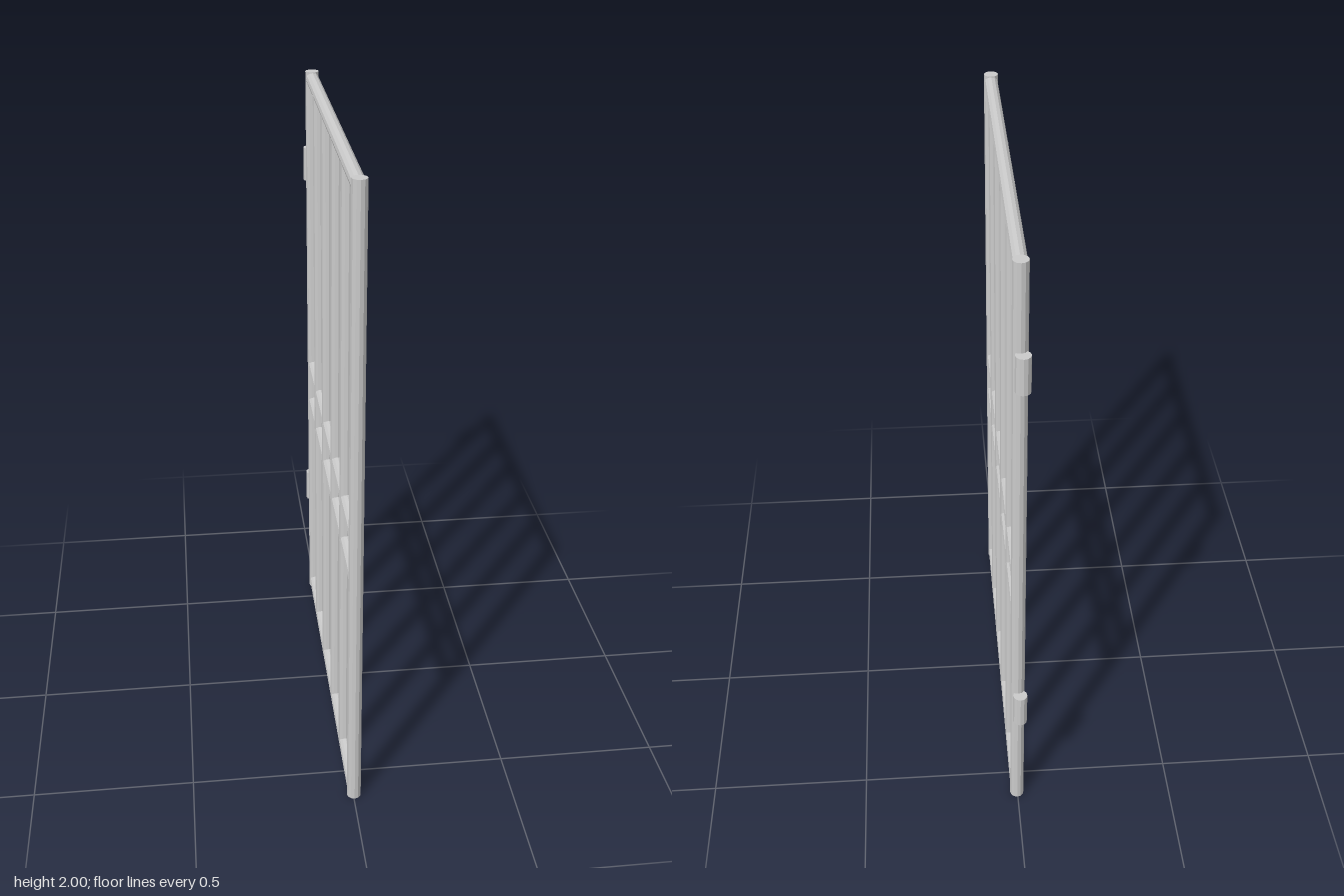
import * as THREE from 'three';

const R = 0.022, SIDES = 12;
const GATE_X = 0.002, HINGE_X = -0.004;
const FRONT_Z = 0.608, BACK_Z = -0.582;

export function createModel() {
  const gate = new THREE.Group();
  gate.name = 'barredGate';
  const material = new THREE.MeshStandardMaterial({ color: 0xcccccc, flatShading: true });

  const tube = (name, length, x, y, z, radius = R) => {
    const mesh = new THREE.Mesh(new THREE.CylinderGeometry(radius, radius, length, SIDES), material);
    mesh.name = name;
    mesh.position.set(x, y, z);
    gate.add(mesh);
    return mesh;
  };

  // Full-height outer posts
  tube('latchPost', 2, GATE_X, 1, FRONT_Z);
  tube('hingePost', 2, GATE_X, 1, BACK_Z);

  // Horizontal rails, running between the post centres
  for (const y of [0.027, 0.805, 0.948, 1.977]) {
    const rail = tube('rail', FRONT_Z - BACK_Z, GATE_X, y, (FRONT_Z + BACK_Z) / 2, 0.021);
    rail.rotation.x = Math.PI / 2;
  }

  // Inner upright bars, from bottom rail to top rail
  for (const z of [0.379, 0.143, -0.109, -0.347]) {
    tube('uprightBar', 1.95, GATE_X, 1.002, z, 0.0215);
  }

  // Hinge barrels beside the back post
  for (const y of [0.436, 1.684]) {
    tube('hingeBarrel', 0.112, HINGE_X, y, -0.611);
  }
  return gate;
}
